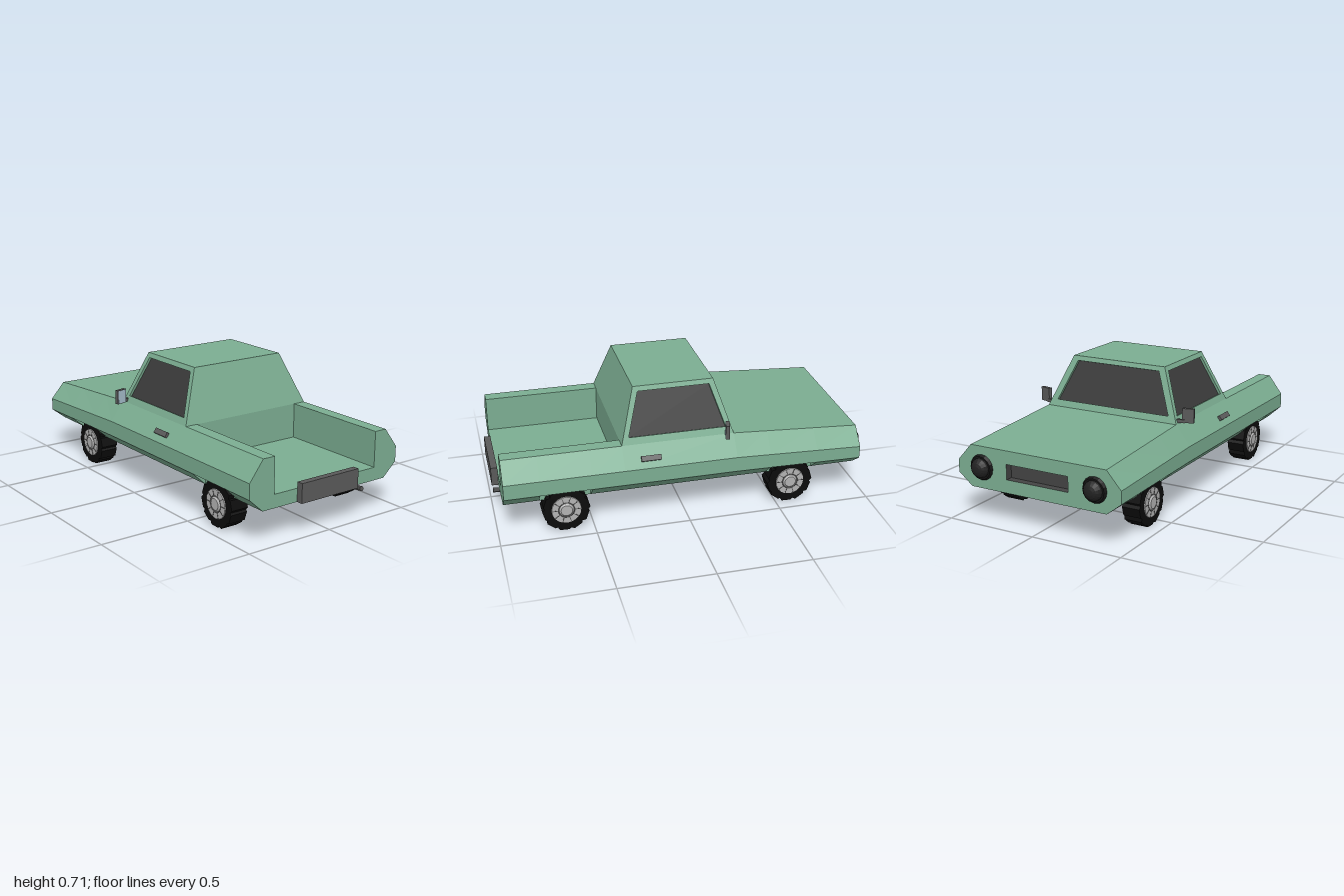
import * as THREE from 'three';

const mat = (color, extra = {}) => new THREE.MeshStandardMaterial({ color, flatShading: true, ...extra });
const paint = mat(0x7cae92), glass = mat(0x3c3c3c), trim = mat(0x5a5a5a), black = mat(0x151515),
  rubber = mat(0x0c0c0c), metal = mat(0xb4b4b4), mirrorGlass = mat(0xa8c0ce);

// Collects quads, each turned to face the given outward direction
function panels() {
  const pos = [];
  const V = (p) => new THREE.Vector3(...p);
  return {
    quad(a, b, c, d, out) {
      const n = V(b).sub(V(a)).cross(V(c).sub(V(a)));
      if (n.dot(V(out)) < 0) [b, d] = [d, b];
      pos.push(...a, ...b, ...c, ...a, ...c, ...d);
    },
    tri(a, b, c, out) {
      const n = V(b).sub(V(a)).cross(V(c).sub(V(a)));
      if (n.dot(V(out)) < 0) [b, c] = [c, b];
      pos.push(...a, ...b, ...c);
    },
    mesh(name, material) {
      const g = new THREE.BufferGeometry();
      g.setAttribute('position', new THREE.Float32BufferAttribute(pos, 3));
      g.computeVertexNormals();
      return named(new THREE.Mesh(g, material), name);
    },
  };
}
function named(o, name) { o.name = name; return o; }
function add(parent, name, geo, material, p = [0, 0, 0], r = [0, 0, 0]) {
  const m = named(new THREE.Mesh(geo, material), name);
  m.position.set(...p);
  m.rotation.set(...r);
  parent.add(m);
  return m;
}
const box = (x, y, z) => new THREE.BoxGeometry(x, y, z);

const REAR = 0.965, NOSE = -0.95, CAB_BACK = 0.34, CAB_FRONT = -0.26, BED = 0.325, FLOOR = 0.25;
const AXLES = [0.645, -0.575];

// Right half of the body section, bottom to top; it drops toward the nose
function section(z) {
  const t = Math.max(0, (CAB_FRONT - z) / (CAB_FRONT - NOSE));
  return [[0.395, 0.18], [0.475, 0.253 - 0.01 * t], [0.475, 0.335 - 0.025 * t], [0.395, 0.44 - 0.04 * t]];
}

function buildBody() {
  const g = named(new THREE.Group(), 'body');
  const p = panels();
  const zs = [REAR, 0.78, 0.51, CAB_BACK, CAB_FRONT, -0.445, -0.705, NOSE];
  for (const s of [1, -1]) {
    for (let i = 0; i < zs.length - 1; i++) {
      const [z0, z1] = [zs[i], zs[i + 1]], A = section(z0), B = section(z1);
      const at = (q, z) => [s * q[0], q[1], z];
      for (let k = 0; k < 3; k++) {
        if (k === 0 && (i === 1 || i === 5)) {
          // wheel arch cut into the lower sill
          const a = [0.395, A[1][1]], b = [0.395, B[1][1]];
          p.quad(at(A[0], z0), at(a, z0), at(b, z1), at(B[0], z1), [s, 0, 0]);
          p.quad(at(a, z0), at(A[1], z0), at(B[1], z1), at(b, z1), [0, -1, 0]);
          p.tri(at(A[0], z0), at(A[1], z0), at(a, z0), [0, 0, -1]);
          p.tri(at(B[0], z1), at(B[1], z1), at(b, z1), [0, 0, 1]);
        } else {
          p.quad(at(A[k], z0), at(A[k + 1], z0), at(B[k + 1], z1), at(B[k], z1), [s, (k - 1) * 0.5, 0]);
        }
      }
    }
    // bed rail and its inner wall
    p.quad([s * 0.395, 0.44, REAR], [s * BED, 0.44, REAR], [s * BED, 0.44, CAB_BACK], [s * 0.395, 0.44, CAB_BACK], [0, 1, 0]);
    p.quad([s * BED, 0.44, REAR], [s * BED, FLOOR, REAR], [s * BED, FLOOR, CAB_BACK], [s * BED, 0.44, CAB_BACK], [-s, 0, 0]);
  }
  // a full-width quad between two heights and depths
  const span = (x, y0, z0, y1, z1, out) => p.quad([-x, y0, z0], [x, y0, z0], [x, y1, z1], [-x, y1, z1], out);
  span(0.395, 0.18, REAR, 0.18, NOSE, [0, -1, 0]);
  span(BED, FLOOR, REAR, FLOOR, CAB_BACK, [0, 1, 0]);
  span(BED, FLOOR, CAB_BACK, 0.44, CAB_BACK, [0, 0, 1]);
  span(0.395, 0.44, CAB_FRONT, 0.40, NOSE, [0, 1, 0]);
  g.add(p.mesh('bodyShell', paint));

  // rear end, open above the bed floor
  const pts = (list) => list.map(([x, y]) => new THREE.Vector2(x, y));
  const mirror = (list) => pts([...list, ...list.map(([x, y]) => [-x, y]).reverse()]);
  const rear = new THREE.Shape(mirror([...section(REAR), [BED, 0.44], [BED, FLOOR]]));
  add(g, 'rearPanel', new THREE.ShapeGeometry(rear), paint, [0, 0, REAR]);

  // nose with the recessed grille opening
  const nose = new THREE.Shape(mirror(section(NOSE)));
  nose.holes.push(new THREE.Path(pts([[-0.18, 0.25], [-0.18, 0.33], [0.18, 0.33], [0.18, 0.25]])));
  add(g, 'nosePanel', new THREE.ShapeGeometry(nose), paint, [0, 0, NOSE], [0, Math.PI, 0]);
  add(g, 'grilleRecess', box(0.36, 0.08, 0.04), mat(0x444444, { side: THREE.BackSide }), [0, 0.29, NOSE + 0.02]).geometry
    .setIndex([...box(1, 1, 1).index.array].slice(0, 30)); // no front cover
  return g;
}

function buildCab() {
  const g = named(new THREE.Group(), 'cab');
  const frame = panels(), panes = panels();
  const b = (sx, front) => [sx * 0.395, 0.44, front ? CAB_FRONT : CAB_BACK];
  const t = (sx, front) => [sx * 0.28, 0.715, front ? -0.175 : 0.255];
  frame.quad(t(-1, 0), t(1, 0), t(1, 1), t(-1, 1), [0, 1, 0]);
  frame.quad(b(-1, 0), b(1, 0), t(1, 0), t(-1, 0), [0, 0, 1]);
  // window wall: frame, reveal and sunken pane
  function windowWall(c, out) {
    const mix = (p, q, k) => p.map((v, i) => v + (q[i] - v) * k);
    const inner = [[0.05, 0.13], [0.95, 0.13], [0.93, 0.91], [0.07, 0.91]]
      .map(([u, v]) => mix(mix(c[0], c[1], u), mix(c[3], c[2], u), v));
    const sunk = inner.map((p) => p.map((v, i) => v - out[i] * 0.014));
    const mid = mix(inner[0], inner[2], 0.5);
    for (let i = 0; i < 4; i++) {
      const j = (i + 1) % 4;
      frame.quad(c[i], c[j], inner[j], inner[i], out);
      frame.quad(inner[i], inner[j], sunk[j], sunk[i], mid.map((v, k) => v - (inner[i][k] + inner[j][k]) / 2));
    }
    panes.quad(...sunk, out);
  }
  for (const s of [1, -1]) windowWall([b(s, 0), b(s, 1), t(s, 1), t(s, 0)], [s * 0.92, 0.39, 0]);
  windowWall([b(-1, 1), b(1, 1), t(1, 1), t(-1, 1)], [0, 0.3, -0.95]);
  g.add(frame.mesh('cabShell', paint), panes.mesh('windows', glass));
  return g;
}

function buildWheel(s, z) {
  const g = named(new THREE.Group(), 'wheel');
  // saw-toothed tread outline
  const shape = new THREE.Shape();
  for (let i = 0; i < 10; i++) {
    for (const [da, r] of [[0, 0.126], [0.42, 0.122], [0.5, 0.113]]) {
      const a = i * Math.PI / 5 + da;
      shape[i + da ? 'lineTo' : 'moveTo'](r * Math.cos(a), r * Math.sin(a));
    }
  }
  const tire = new THREE.ExtrudeGeometry(shape, { depth: 0.098, bevelEnabled: false }).translate(0, 0, -0.049);
  add(g, 'tire', tire, rubber);
  const disc = (r0, r1, h) => new THREE.CylinderGeometry(r0, r1, h, 20).rotateX(Math.PI / 2);
  add(g, 'rim', disc(0.077, 0.08, 0.01), metal, [0, 0, 0.049]);
  add(g, 'hubCap', disc(0.03, 0.04, 0.008), metal, [0, 0, 0.057]);
  for (let i = 0; i < 10; i++) {
    const a = i * Math.PI / 5;
    add(g, 'rimSlot', box(0.032, 0.004, 0.003), trim, [0.058 * Math.cos(a), 0.058 * Math.sin(a), 0.054], [0, 0, a]);
  }
  add(g, 'rimGroove', new THREE.TorusGeometry(0.042, 0.002, 4, 20), trim, [0, 0, 0.054]);
  g.rotation.y = s * Math.PI / 2;
  g.position.set(s * 0.379, 0.125, z);
  return g;
}

export function createModel() {
  const car = named(new THREE.Group(), 'pickupTruck');
  car.add(buildBody(), buildCab());
  for (const s of [1, -1]) {
    for (const z of AXLES) car.add(buildWheel(s, z));

    // headlight: rim ring and domed lens
    const rim = new THREE.CylinderGeometry(0.06, 0.068, 0.014, 16).rotateX(-Math.PI / 2);
    add(car, 'headlightRim', rim, black, [s * 0.33, 0.29, NOSE - 0.007]);
    const lens = new THREE.SphereGeometry(0.052, 16, 5, 0, Math.PI * 2, 0, Math.PI / 2).rotateX(-Math.PI / 2);
    add(car, 'headlightLens', lens, mat(0x222222), [s * 0.33, 0.29, NOSE - 0.012]).scale.z = 0.72;

    // door handle lying on the upper slope
    add(car, 'doorHandle', box(0.014, 0.028, 0.105), trim, [s * 0.45, 0.381, 0.197], [0, 0, s * 0.65]);

    // wing mirror
    const mirror = named(new THREE.Group(), 'wingMirror');
    add(mirror, 'mirrorStalk', box(0.045, 0.018, 0.016), trim, [-0.04 * s, -0.03, -0.006]);
    add(mirror, 'mirrorCase', box(0.062, 0.076, 0.02), trim);
    add(mirror, 'mirrorGlass', box(0.056, 0.07, 0.002), mirrorGlass, [0, 0, 0.0105]);
    mirror.position.set(s * 0.441, 0.484, -0.212);
    mirror.rotation.y = -s * 0.25;
    car.add(mirror);
  }
  add(car, 'rearBumper', box(0.366, 0.103, 0.035), trim, [0, 0.2315, REAR + 0.0175]);
  add(car, 'exhaustPipe', new THREE.CylinderGeometry(0.013, 0.013, 0.085, 8).rotateX(Math.PI / 2), trim, [0.213, 0.166, 0.955], [-0.08, 0, 0]);
  return car;
}
